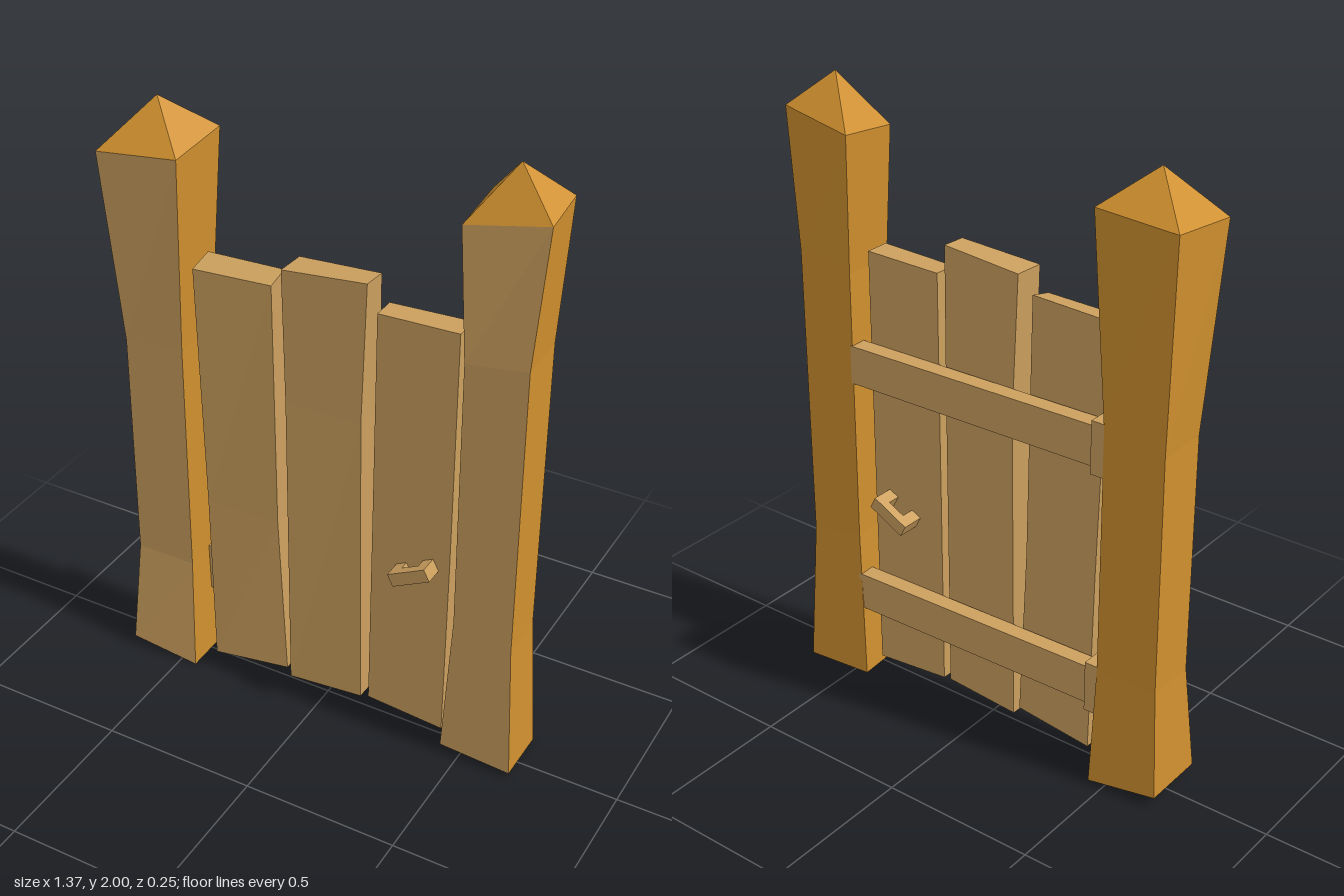
import * as THREE from 'three';

// Corner ring: front-left, front-right, back-right, back-left.
// dx, dy shift the back corners against the front ones.
function ring(xl, xr, yl, yr, zfl, zfr, zbl, zbr, dx = 0, dy = 0) {
  return [[xl, yl, zfl], [xr, yr, zfr], [xr + dx, yr + dy, zbr], [xl + dx, yl + dy, zbl]];
}

// Flat-faced loft through four-cornered rings, closed by a flat end or a pointed cap.
// Group 0 is the front, group 1 all other faces.
function loft(rings, apex) {
  const front = [], rest = [];
  const quad = (out, a, b, c, d) => out.push(...a, ...b, ...c, ...a, ...c, ...d);
  for (let r = 0; r < rings.length - 1; r++) {
    for (let i = 0; i < 4; i++) {
      const j = (i + 1) % 4, lo = rings[r], hi = rings[r + 1];
      quad(i === 0 ? front : rest, lo[i], lo[j], hi[j], hi[i]);
    }
  }
  const b = rings[0], t = rings[rings.length - 1];
  quad(rest, b[0], b[3], b[2], b[1]);
  if (apex) for (let i = 0; i < 4; i++) rest.push(...t[i], ...t[(i + 1) % 4], ...apex);
  else quad(rest, ...t);
  const g = new THREE.BufferGeometry();
  g.setAttribute('position', new THREE.Float32BufferAttribute([...front, ...rest], 3));
  g.addGroup(0, front.length / 3, 0);
  g.addGroup(front.length / 3, rest.length / 3, 1);
  g.computeVertexNormals();
  return g;
}

export function createModel() {
  const model = new THREE.Group();
  model.name = 'gate';
  const tan = new THREE.MeshStandardMaterial({ color: 0xcca05e });
  tan.name = 'tan wood';
  const orange = new THREE.MeshStandardMaterial({ color: 0xd0902f });
  orange.name = 'orange wood';

  const add = (name, geometry, material = tan, parent = model) => {
    const m = new THREE.Mesh(geometry, material);
    m.name = name;
    parent.add(m);
    return m;
  };

  // Posts: flared at both ends, pointed caps, tan front faces
  add('rightPost', loft([
    ring(-0.675, -0.445, 0.04, 0.005, 0.11, 0.1, -0.1, -0.11),
    ring(-0.655, -0.455, 0.4, 0.4, 0.075, 0.075, -0.09, -0.095),
    ring(-0.655, -0.455, 1.17, 1.19, 0.075, 0.075, -0.095, -0.095),
    ring(-0.685, -0.43, 1.8, 1.82, 0.12, 0.095, -0.115, -0.125, 0.006, 0.02),
  ], [-0.555, 1.95, -0.01]), [tan, orange]);
  add('leftPost', loft([
    ring(0.44, 0.675, 0.035, 0.02, 0.075, 0.075, -0.11, -0.115, -0.003, -0.012),
    ring(0.467, 0.655, 0.53, 0.49, 0.075, 0.075, -0.095, -0.095, -0.006),
    ring(0.463, 0.655, 1.42, 1.45, 0.075, 0.075, -0.1, -0.1, -0.006),
    ring(0.44, 0.68, 1.835, 1.875, 0.08, 0.05, -0.12, -0.108, -0.006, 0.02),
  ], [0.555, 2, -0.02]), [tan, orange]);

  // Upright planks, slightly crooked
  const planks = [
    [ring(-0.385, -0.125, 0.055, 0.085, 0.06, 0.045, -0.03, -0.03),
      ring(-0.4, -0.152, 0.65, 0.65, 0.05, 0.045, -0.03, -0.03, 0.005),
      ring(-0.418, -0.16, 1.465, 1.475, 0.055, 0.045, -0.03, -0.03, 0, 0.018)],
    [ring(-0.11, 0.143, 0.06, 0.08, 0.05, 0.045, -0.035, -0.035, 0.003),
      ring(-0.115, 0.13, 1.1, 1.1, 0.05, 0.04, -0.035, -0.035, 0.02),
      ring(-0.118, 0.148, 1.545, 1.565, 0.06, 0.045, -0.035, -0.03, 0.005)],
    [ring(0.165, 0.423, 0.08, 0.06, 0.035, 0.035, -0.04, -0.045, 0.003),
      ring(0.17, 0.428, 0.7, 0.7, 0.035, 0.035, -0.04, -0.045),
      ring(0.175, 0.43, 1.475, 1.483, 0.035, 0.035, -0.038, -0.045)],
  ];
  planks.forEach((p, i) => add('plank' + (i + 1), loft(p), [tan, tan]));

  // Cross rails behind the planks, each with an end block at one post
  for (const [name, y] of [['lowerRail', 0.327], ['upperRail', 1.125]]) {
    add(name, loft([
      ring(-0.43, 0.465, y - 0.064, y - 0.062, -0.033, -0.045, -0.086, -0.1),
      ring(-0.43, 0.465, y + 0.064, y + 0.062, -0.033, -0.045, -0.086, -0.1),
    ]), [tan, tan]);
    add(name + 'EndBlock', new THREE.BoxGeometry(0.06, 0.168, 0.07))
      .position.set(-0.441, y - 0.002, -0.058);
  }

  // Tilted pull handles on both sides
  for (const [name, root, tip] of [['frontHandle', 0.03, 0.095], ['backHandle', -0.04, -0.115]]) {
    const handle = new THREE.Group();
    handle.name = name;
    const s = Math.sign(tip), grip = 0.03;
    add('grip', new THREE.BoxGeometry(0.135, 0.042, grip), tan, handle).position.z = tip - s * grip / 2;
    const depth = Math.abs(tip - root) - grip;
    for (const x of [-0.049, 0.049]) {
      add('leg', new THREE.BoxGeometry(0.037, 0.042, depth), tan, handle)
        .position.set(x, 0, root + s * depth / 2);
    }
    handle.position.set(0.323, 0.652, 0);
    handle.rotation.z = 0.48;
    model.add(handle);
  }
  return model;
}
